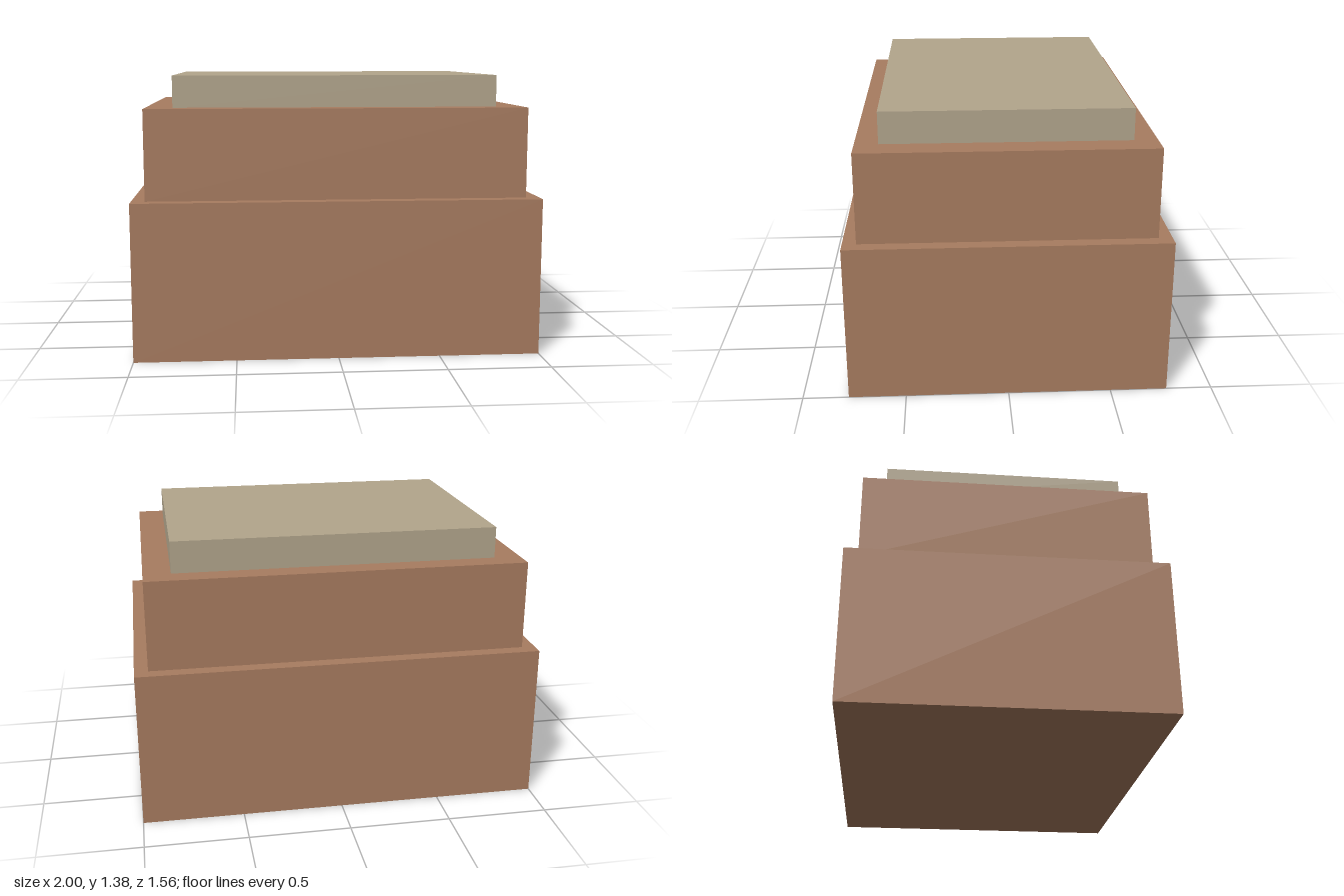
import * as THREE from 'three';

export function createModel() {
  const model = new THREE.Group();
  model.name = 'steppedBlock';

  const clay = new THREE.MeshStandardMaterial({ color: 0xa87c60 });
  clay.name = 'clay brown';
  const stone = new THREE.MeshStandardMaterial({ color: 0xb2a58c });
  stone.name = 'stone beige';

  // Three stacked tiers: name, width, depth, bottom, top, material
  const tiers = [
    ['baseTier', 2, 1.556, 0, 0.778, clay],
    ['middleTier', 1.867, 1.422, 0.778, 1.222, clay],
    ['topSlab', 1.6, 1.196, 1.222, 1.378, stone],
  ];
  for (const [name, width, depth, bottom, top, material] of tiers) {
    const tier = new THREE.Mesh(new THREE.BoxGeometry(width, top - bottom, depth), material);
    tier.name = name;
    tier.position.y = (bottom + top) / 2;
    model.add(tier);
  }
  return model;
}
